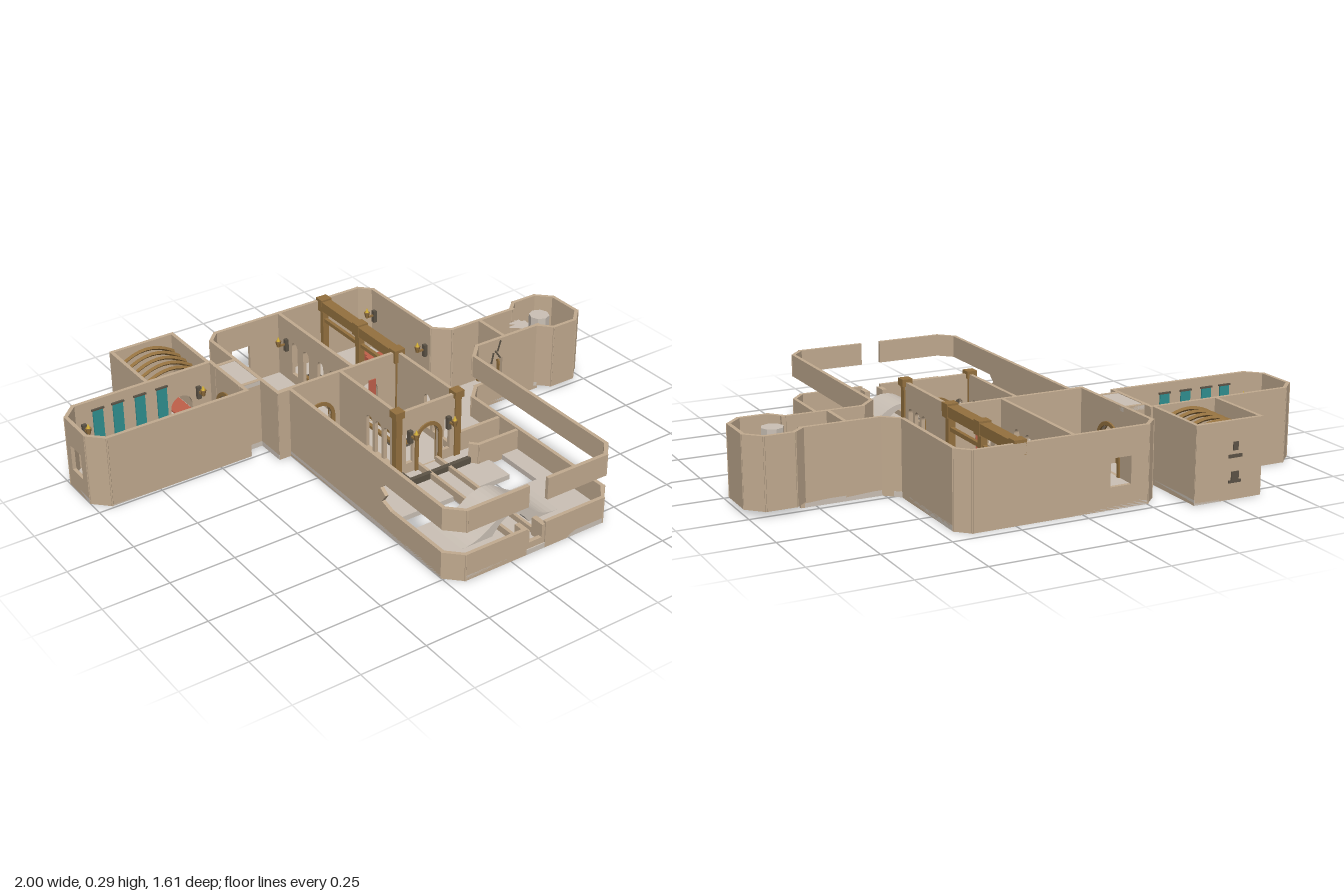
import * as THREE from 'three';

const T = 0.014, H = 0.28, FLOOR = 0.02;
const mat = (c) => new THREE.MeshStandardMaterial({ color: c, side: THREE.DoubleSide, flatShading: true });
const STONE = mat(0xc2ab90), PAVE = mat(0xcbc1b6), WOOD = mat(0x94713f), DARK = mat(0x5c5346),
  RED = mat(0xc0604a), TEAL = mat(0x2f8f90), GOLD = mat(0xd6b23a);

export function createModel() {
  const root = new THREE.Group();

  const add = (name, geo, m, x = 0, y = 0, z = 0, ry = 0) => {
    const mesh = new THREE.Mesh(geo, m);
    mesh.name = name;
    mesh.position.set(x, y, z);
    mesh.rotation.y = ry;
    root.add(mesh);
    return mesh;
  };
  // Box given by its extents
  const box = (name, m, x0, x1, y0, y1, z0, z1) =>
    add(name, new THREE.BoxGeometry(x1 - x0, y1 - y0, z1 - z0), m, (x0 + x1) / 2, (y0 + y1) / 2, (z0 + z1) / 2);
  const shapeOf = (pts) => new THREE.Shape(pts.map(([x, z]) => new THREE.Vector2(x, -z)));
  // Flat slab from a plan outline, with optional plan holes
  const slab = (name, pts, y0, y1, holes = []) => {
    const s = shapeOf(pts);
    holes.forEach((h) => s.holes.push(shapeOf(h)));
    const g = new THREE.ExtrudeGeometry(s, { depth: y1 - y0, bevelEnabled: false });
    g.rotateX(-Math.PI / 2);
    return add(name, g, PAVE, 0, y0, 0);
  };
  // Opening outline: centre c along the wall, width w, from y0 to y1, optionally arched
  const opening = (c, w, y0, y1, arched) => {
    const p = new THREE.Path(), r = w / 2;
    p.moveTo(c - r, y0);
    p.lineTo(c + r, y0);
    if (arched) {
      p.lineTo(c + r, y1 - r);
      p.absarc(c, y1 - r, r, 0, Math.PI, false);
    } else {
      p.lineTo(c + r, y1);
      p.lineTo(c - r, y1);
    }
    p.closePath();
    return p;
  };
  // Straight wall between two plan points; openings are measured from the first
  const wall = (name, [x1, z1], [x2, z2], y0 = 0, y1 = H, holes = []) => {
    const L = Math.hypot(x2 - x1, z2 - z1), e = T * 0.4;
    const s = new THREE.Shape([[-e, y0], [L + e, y0], [L + e, y1], [-e, y1]].map((p) => new THREE.Vector2(...p)));
    holes.forEach((h) => s.holes.push(opening(...h)));
    const g = new THREE.ExtrudeGeometry(s, { depth: T, bevelEnabled: false, curveSegments: 8 });
    g.translate(0, 0, -T / 2);
    return add(name, g, STONE, x1, 0, z1, -Math.atan2(z2 - z1, x2 - x1));
  };
  const run = (name, pts, y0, y1) => pts.slice(1).forEach((p, i) => wall(name, pts[i], p, y0, y1));
  // Raised half-ring and jambs around a doorway
  const archTrim = (x, z, r, top, ry) => {
    const s = new THREE.Shape(), R = r + 0.014, yc = top - r;
    s.moveTo(R, FLOOR); s.lineTo(R, yc); s.absarc(0, yc, R, 0, Math.PI, false); s.lineTo(-R, FLOOR);
    s.lineTo(-r, FLOOR); s.lineTo(-r, yc); s.absarc(0, yc, r, Math.PI, 0, true); s.lineTo(r, FLOOR);
    const g = new THREE.ExtrudeGeometry(s, { depth: 0.026, bevelEnabled: false, curveSegments: 10 });
    g.translate(0, 0, -0.013);
    add('archTrim', g, WOOD, x, 0, z, ry);
  };

  // Floors
  slab('hallFloor', [[-0.3, -0.66], [-0.25, -0.71], [0.405, -0.71], [0.455, -0.66], [0.455, -0.27], [0.505, -0.22],
    [0.79, -0.22], [0.79, -0.05], [0.505, -0.05], [0.455, 0], [0.455, 0.74], [0.4, 0.8], [-0.19, 0.8],
    [-0.25, 0.74], [-0.25, -0.18], [-0.3, -0.18]], 0, FLOOR,
    [[[-0.238, 0.4], [0.31, 0.4], [0.31, 0.28], [0.37, 0.28], [0.37, 0.48], [-0.238, 0.48]]]);
  slab('westFloor', [[-1, -0.47], [-0.94, -0.53], [-0.65, -0.53], [-0.65, -0.8], [-0.38, -0.8], [-0.38, -0.49],
    [-0.3, -0.49], [-0.3, -0.3], [-0.37, -0.3], [-0.37, -0.26], [-0.94, -0.26], [-1, -0.32]], 0, FLOOR);

  // Main hall outer walls
  wall('northWall', [-0.25, -0.703], [0.405, -0.703], 0, H, [[0.105, 0.08, 0.08, 0.18]]);
  run('hallWall', [[0.405, -0.703], [0.448, -0.66], [0.448, -0.265], [0.505, -0.213], [0.8, -0.213]], 0, H);
  run('hallWall', [[-0.25, -0.703], [-0.293, -0.66]], 0, H);
  wall('hallWestWall', [-0.293, -0.66], [-0.293, -0.187], 0, H, [[0.265, 0.13, FLOOR, 0.19, true]]);
  run('hallWall', [[-0.293, -0.187], [-0.243, -0.187]], 0, H);

  // Broken west wall with a jagged end
  const broken = new THREE.Shape([[-0.19, 0], [0.74, 0], [0.74, 0.105], [0.45, 0.105], [0.4, 0.12], [0.42, 0.15],
    [0.39, 0.17], [0.42, 0.195], [0.74, 0.195], [0.74, H], [-0.19, H]].map((p) => new THREE.Vector2(...p)));
  const bg = new THREE.ExtrudeGeometry(broken, { depth: T, bevelEnabled: false });
  add('brokenWestWall', bg, STONE, -0.236, 0, 0, -Math.PI / 2);

  // Terrace parapet and the band above, both cut where the channel leaves
  const west = [[0.06, 0.793], [-0.19, 0.793], [-0.243, 0.74]];
  const east = [[0.15, 0.793], [0.4, 0.793], [0.448, 0.74], [0.448, 0], [0.505, -0.057], [0.63, -0.057]];
  for (const [n, y0, y1] of [['parapet', 0, 0.105], ['upperBand', 0.195, H]]) {
    run(n, west, y0, y1);
    run(n, east, y0, y1);
  }
  wall('corridorSouthWall', [0.63, -0.057], [0.8, -0.057]);
  // Crack lines
  [[0.6, 0.215, 0.6], [0.575, 0.205, -0.2], [0.605, 0.25, -0.3]].forEach(([x, y, a]) => {
    add('crack', new THREE.BoxGeometry(0.006, 0.045, 0.004), DARK, x, y, -0.049).rotation.z = a;
  });

  // Corridor doorway
  wall('corridorDoor', [0.635, -0.213], [0.635, -0.057], 0, H, [[0.078, 0.11, FLOOR, 0.2, true]]);
  archTrim(0.635, -0.135, 0.055, 0.2, Math.PI / 2);

  // Stair tower
  run('towerWall', [[0.79, -0.213], [0.835, -0.253], [0.94, -0.253], [0.993, -0.2], [0.993, -0.06], [0.94, -0.007],
    [0.835, -0.007], [0.79, -0.057]], 0.02, H);
  add('stairNewel', new THREE.CylinderGeometry(0.04, 0.04, 0.27, 8), PAVE, 0.865, 0.135, -0.13);
  for (let i = 0; i < 18; i++) {
    const step = Math.PI / 11;
    add('stairTread', new THREE.CylinderGeometry(0.113, 0.113, 0.016, 3, 1, false, -Math.PI / 2 + 0.5 + i * step, step),
      PAVE, 0.865, 0.012 + i * 0.012, -0.13);
  }

  // West gallery
  wall('galleryNorthWall', [-0.94, -0.523], [-0.377, -0.523], 0, H, [[0.43, 0.09, FLOOR, 0.18, true]]);
  run('galleryWall', [[-0.377, -0.267], [-0.94, -0.267], [-0.993, -0.32]], 0, H);
  run('galleryWall', [[-0.993, -0.47], [-0.94, -0.523]], 0, H);
  wall('galleryWestWall', [-0.993, -0.47], [-0.993, -0.32], 0, H, [[0.07, 0.08, 0.08, 0.18]]);
  wall('galleryEastWall', [-0.377, -0.523], [-0.377, -0.267], 0, H, [[0.128, 0.13, FLOOR, 0.19, true]]);
  for (const x of [-0.85, -0.77, -0.68, -0.59])
    for (const z of [-0.513, -0.277]) {
      box('banner', TEAL, x - 0.02, x + 0.02, 0.1, 0.24, z - 0.003, z + 0.003);
      box('bannerRod', DARK, x - 0.025, x + 0.025, 0.24, 0.246, z - 0.005, z + 0.005);
    }

  // Roofed link between gallery and hall
  for (const z of [-0.483, -0.307]) wall('linkWall', [-0.38, z], [-0.295, z]);
  box('linkRoof', PAVE, -0.384, -0.286, 0.262, 0.278, -0.49, -0.3);
  archTrim(-0.293, -0.395, 0.065, 0.19, Math.PI / 2);
  archTrim(-0.377, -0.395, 0.065, 0.19, Math.PI / 2);

  // Cell with vault ribs
  run('cellWall', [[-0.643, -0.523], [-0.643, -0.793], [-0.387, -0.793], [-0.387, -0.523]], 0, H);
  for (let i = 0; i < 6; i++) {
    const c = new THREE.QuadraticBezierCurve3(new THREE.Vector3(-0.64, 0.21, 0), new THREE.Vector3(-0.515, 0.31, 0),
      new THREE.Vector3(-0.39, 0.21, 0));
    add('vaultRib', new THREE.TubeGeometry(c, 10, 0.008, 4), WOOD, 0, 0, -0.77 + i * 0.045);
  }
  box('cellRug', RED, -0.47, -0.4, FLOOR, 0.026, -0.76, -0.55);
  [[0.19, 0.02, 0.03], [0.155, 0.055, 0.012], [0.085, 0.03, 0.03], [0.065, 0.05, 0.01]].forEach(([y, w, h]) =>
    box('wallRelief', DARK, -0.54 - w / 2, -0.54 + w / 2, y - h / 2, y + h / 2, -0.804, -0.798));

  // Inner hall walls
  wall('crossWall', [-0.293, -0.193], [0.235, -0.193], 0, H,
    [[0.175, 0.1, FLOOR, 0.165, true], [0.395, 0.08, FLOOR, 0.19, true]]);
  archTrim(-0.118, -0.193, 0.05, 0.165, 0);
  wall('dividingWall', [0.033, -0.7], [0.033, -0.193], 0, H,
    [0.12, 0.2, 0.3, 0.38].map((c) => [c, 0.04, 0.06, 0.2, true]));
  for (const x of [-0.023, 0.235])
    wall('chamberSideWall', [x, -0.193], [x, 0.175], 0, H, [0.2, 0.255, 0.31].map((c) => [c, 0.04, 0.05, 0.19, true]));
  wall('chamberFrontWall', [-0.023, 0.175], [0.235, 0.175], 0, H,
    [[0.128, 0.09, FLOOR, 0.19, true], [0.045, 0.03, 0.06, 0.19, true], [0.21, 0.03, 0.06, 0.19, true]]);
  archTrim(0.105, 0.175, 0.045, 0.19, 0);
  box('bench', DARK, -0.035, 0.24, FLOOR, 0.045, 0.245, 0.262);
  box('bench', DARK, -0.035, -0.018, FLOOR, 0.045, 0.2, 0.25);
  run('alcoveWall', [[0.245, 0.165], [0.44, 0.165]], 0, 0.1);
  run('alcoveWall', [[0.245, 0.25], [0.265, 0.273], [0.44, 0.273]], 0, 0.1);

  // Timber frame: corner posts, long beam and its posts
  for (const x of [-0.027, 0.235]) {
    box('cornerPost', WOOD, x - 0.013, x + 0.013, FLOOR, 0.27, 0.162, 0.188);
    box('postCap', WOOD, x - 0.02, x + 0.02, 0.265, 0.292, 0.155, 0.195);
  }
  box('longBeam', WOOD, 0.214, 0.256, 0.245, 0.284, -0.705, -0.175);
  for (const z of [-0.69, -0.44, -0.195]) {
    box('beamPost', WOOD, 0.222, 0.248, FLOOR, 0.25, z - 0.013, z + 0.013);
    box('beamCap', WOOD, 0.212, 0.258, 0.24, 0.291, z - 0.02, z + 0.02);
  }
  box('beamRail', WOOD, 0.228, 0.242, 0.19, 0.205, -0.69, -0.195);

  // Floor troughs: a pair of rails with square ends
  const trough = (x0, z0, x1, z1) => {
    const alongX = x1 - x0 > z1 - z0;
    for (const o of [-0.02, 0.02]) {
      if (alongX) box('troughRail', WOOD, x0, x1, FLOOR, 0.032, z0 + o - 0.007, z0 + o + 0.007);
      else box('troughRail', WOOD, x0 + o - 0.007, x0 + o + 0.007, FLOOR, 0.032, z0, z1);
    }
  };
  const basin = (x, z) => add('basin', new THREE.TorusGeometry(0.05, 0.005, 4, 4).rotateZ(Math.PI / 4)
    .rotateX(Math.PI / 2), DARK, x, 0.024, z);
  trough(0.105, -0.6, 0.105, 0.03);
  trough(-0.118, -0.57, -0.118, -0.37);
  trough(-0.88, -0.4, -0.5, -0.4);
  trough(-0.515, -0.69, -0.515, -0.4);
  [[0.105, -0.57], [0.105, 0], [-0.118, -0.4], [-0.86, -0.4]].forEach((p) => basin(...p));
  add('wellDisc', new THREE.CylinderGeometry(0.042, 0.042, 0.02, 20), PAVE, -0.118, 0.03, -0.57);

  // Channel running out through the terrace
  box('channelBed', PAVE, 0.06, 0.15, 0.004, 0.024, 0.18, 0.795);
  for (const x of [0.065, 0.145]) box('channelKerb', STONE, x - 0.006, x + 0.006, 0.01, 0.045, 0.18, 0.795);
  for (const x of [0.068, 0.142]) box('spoutSide', STONE, x - 0.01, x + 0.01, 0.01, 0.095, 0.74, 0.796);
  box('spoutSill', STONE, 0.06, 0.15, 0.01, 0.045, 0.78, 0.796);

  // Arched footbridge over the channel
  const br = new THREE.Shape();
  br.moveTo(-0.11, FLOOR);
  br.bezierCurveTo(0, FLOOR, 0.02, 0.1, 0.1, 0.1);
  br.bezierCurveTo(0.18, 0.1, 0.2, FLOOR, 0.31, FLOOR);
  br.lineTo(0.18, FLOOR);
  br.quadraticCurveTo(0.1, 0.14, 0.02, FLOOR);
  add('footbridge', new THREE.ExtrudeGeometry(br, { depth: 0.17, bevelEnabled: false, curveSegments: 12 }), PAVE, 0, 0, 0.5);

  // Table, stools and hangings in the east room
  box('table', RED, 0.335, 0.44, FLOOR, 0.06, -0.55, -0.38);
  for (const [z, a] of [[-0.59, 0.2], [-0.33, 0.5]])
    add('stool', new THREE.BoxGeometry(0.045, 0.03, 0.045), RED, 0.375, 0.035, z, a);
  box('hanging', RED, 0.1, 0.13, 0.1, 0.2, -0.186, -0.182);
  box('hanging', TEAL, 0, 0.03, 0.1, 0.2, -0.204, -0.2);

  // Wall torches: arm, cup and flame
  const torch = (x, z, dx, dz) => {
    box('torchPlate', DARK, x - 0.008, x + 0.008, 0.15, 0.2, z - 0.008, z + 0.008);
    const arm = add('torchArm', new THREE.BoxGeometry(0.007, 0.007, 0.04), WOOD, x + dx * 0.018, 0.18, z + dz * 0.018);
    if (dx) arm.rotation.y = Math.PI / 2;
    add('torchCup', new THREE.CylinderGeometry(0.012, 0.006, 0.025, 6), WOOD, x + dx * 0.036, 0.19, z + dz * 0.036);
    add('torchFlame', new THREE.ConeGeometry(0.008, 0.02, 6), GOLD, x + dx * 0.036, 0.212, z + dz * 0.036);
  };
  for (const x of [-0.91, -0.44]) { torch(x, -0.51, 0, 1); torch(x, -0.28, 0, -1); }
  torch(-0.28, -0.63, 1, 0);
  torch(0.02, -0.63, -1, 0);
  torch(0.046, -0.63, 1, 0);
  torch(0.435, -0.63, -1, 0);
  torch(0.435, -0.29, -1, 0);
  torch(0.02, 0.19, 0, 1);
  torch(0.19, 0.19, 0, 1);

  // Jars in the terrace corner
  [[-0.195, 0.735, 0.018], [-0.16, 0.72, 0.009], [-0.16, 0.745, 0.009]].forEach(([x, z, r]) =>
    add('jar', new THREE.CylinderGeometry(r * 0.7, r, r * 2, 8), WOOD, x, FLOOR + r, z));

  return root;
}
